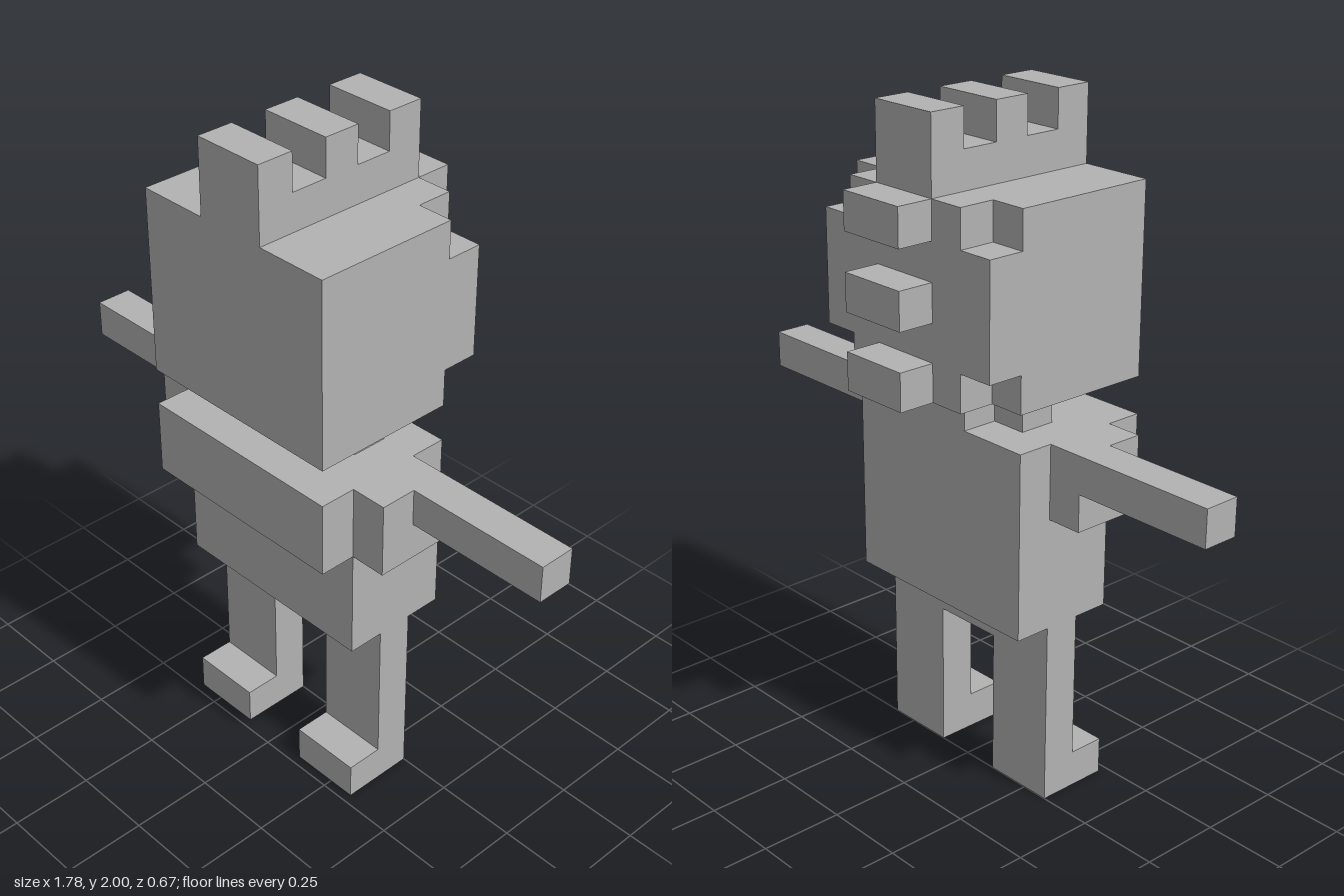
import * as THREE from 'three';

const U = 1 / 9; // size of one block

export function createModel() {
  const model = new THREE.Group();
  model.name = 'blockFigure';
  const gray = new THREE.MeshStandardMaterial({ color: 0xb2b2b2 });
  gray.name = 'gray';

  const add = (name, geometry) => {
    const mesh = new THREE.Mesh(geometry, gray);
    mesh.name = name;
    model.add(mesh);
  };

  // Box between two corners, given in blocks
  const box = (name, [x0, x1], [y0, y1], [z0, z1]) => {
    const g = new THREE.BoxGeometry((x1 - x0) * U, (y1 - y0) * U, (z1 - z0) * U);
    g.translate((x0 + x1) / 2 * U, (y0 + y1) / 2 * U, (z0 + z1) / 2 * U);
    add(name, g);
  };

  // Outline in blocks, extruded along z
  const extrude = (points, depth) => {
    const shape = new THREE.Shape(points.map(([a, b]) => new THREE.Vector2(a * U, b * U)));
    return new THREE.ExtrudeGeometry(shape, { depth: depth * U, bevelEnabled: false });
  };

  // Plus-shaped outline: half sizes (w, h), with corners cut by c
  const plus = (w, h, c, cy = 0) => [
    [w - c, -h], [w - c, -h + c], [w, -h + c], [w, h - c], [w - c, h - c], [w - c, h],
    [c - w, h], [c - w, h - c], [-w, h - c], [-w, c - h], [c - w, c - h], [c - w, -h],
  ].map(([x, y]) => [x, y + cy]);

  // Legs joined at the hips
  add('legs', extrude(
    [[-3, 0], [-1, 0], [-1, 4], [1, 4], [1, 0], [3, 0], [3, 5], [-3, 5]], 1));

  // Torso and chest
  box('torso', [-3, 3], [5, 10], [-1, 2]);
  box('chest', [-3, 3], [8, 10], [2, 3]);

  // Feet, shoulders and outstretched arms
  for (const [side, s] of [['left', 1], ['right', -1]]) {
    const span = (a, b) => (s > 0 ? [a, b] : [-b, -a]);
    box(side + 'Foot', span(1, 3), [0, 1], [1, 2]);
    box(side + 'Shoulder', span(3, 4), [8, 10], [0, 2]);
    box(side + 'Arm', span(4, 8), [9, 10], [0, 1]);
  }

  // Plus-shaped neck, laid flat
  const neck = extrude(plus(2, 1.5, 1), 1);
  neck.rotateX(-Math.PI / 2);
  neck.translate(0, 10 * U, 0.5 * U);
  add('neck', neck);

  // Head, with a back layer notched at the corners
  box('head', [-3, 3], [11, 16], [-1, 3]);
  const back = extrude(plus(3, 2.5, 1, 13.5), 1);
  back.translate(0, 0, -2 * U);
  add('headBack', back);

  // Crest with three teeth on top, its side profile extruded across x
  const crest = extrude([
    [-3, 16], [2, 16], [2, 18], [1, 18], [1, 17], [0, 17],
    [0, 18], [-1, 18], [-1, 17], [-2, 17], [-2, 18], [-3, 18],
  ], 2);
  crest.rotateY(Math.PI / 2);
  crest.translate(-U, 0, 0);
  add('crest', crest);

  // Crest teeth continuing down the back of the head
  for (const y of [11, 13, 15]) box('backTooth', [-1, 1], [y, y + 1], [-3, -2]);

  return model;
}
